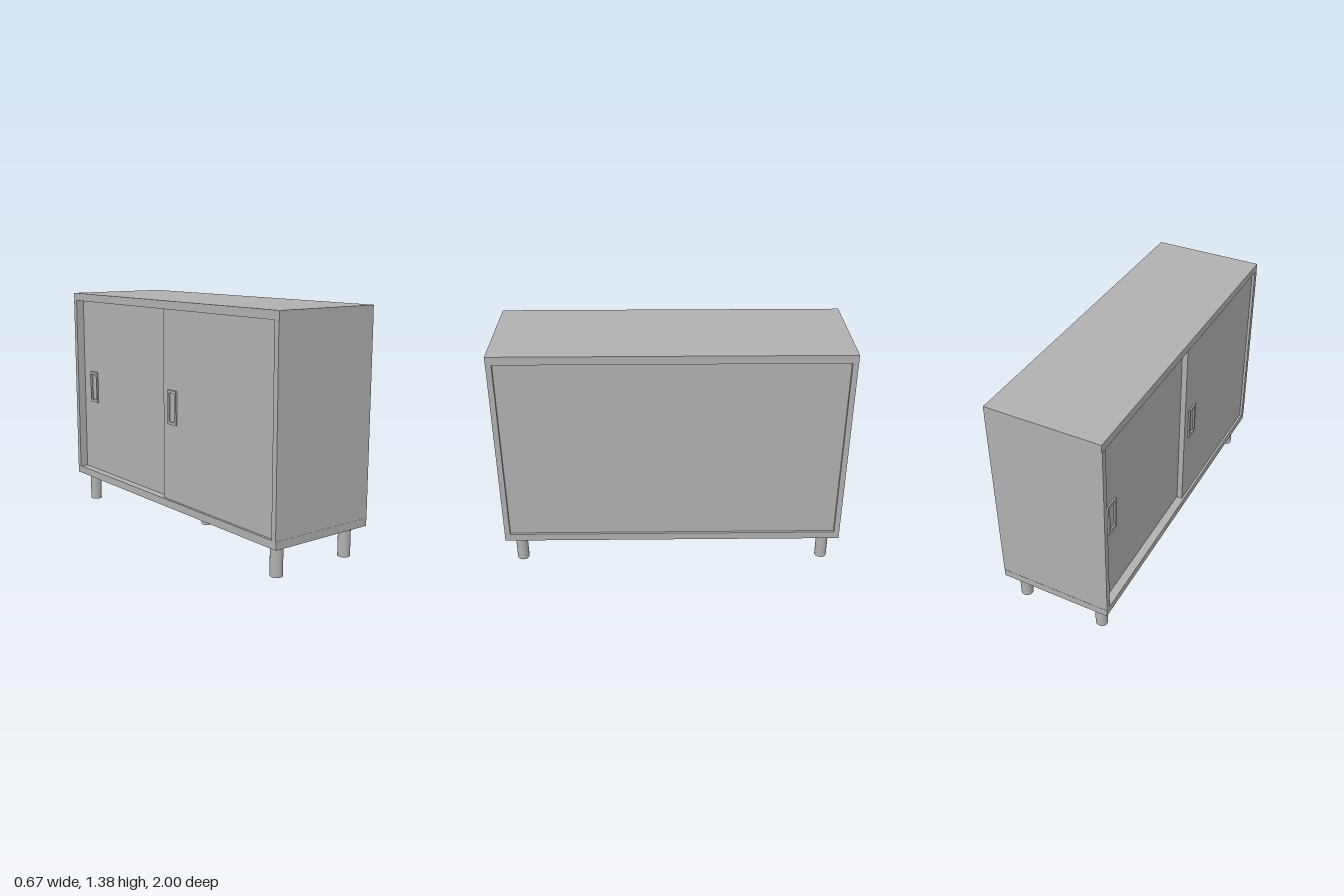
import * as THREE from 'three';

const grey = new THREE.MeshStandardMaterial({ color: 0xb0b0b0 });
grey.name = 'plain grey';

export function createModel() {
  const cabinet = new THREE.Group();
  cabinet.name = 'slidingDoorCabinet';

  const add = (name, geometry, x, y, z) => {
    const mesh = new THREE.Mesh(geometry, grey);
    mesh.name = name;
    mesh.position.set(x, y, z);
    cabinet.add(mesh);
    return mesh;
  };
  // Box given by its limits on each axis
  const slab = (name, [x0, x1], [y0, y1], [z0, z1]) =>
    add(name, new THREE.BoxGeometry(x1 - x0, y1 - y0, z1 - z0),
      (x0 + x1) / 2, (y0 + y1) / 2, (z0 + z1) / 2);

  // Carcass
  const bottom = 0.222, top = 1.334, inner = 0.967;
  slab('topBoard', [-0.332, 0.33], [top, 1.382], [-1, 1]);
  slab('bottomBoard', [-0.332, 0.33], [0.177, bottom], [-1, 1]);
  slab('leftEndPanel', [-0.334, 0.332], [bottom, top], [inner, 0.999]);
  slab('rightEndPanel', [-0.334, 0.332], [bottom, top], [-0.999, -inner]);
  slab('backPanel', [0.285, 0.315], [bottom, top], [-inner, inner]);

  // Two overlapping sliding doors on the -x side, each with a pull
  const ring = new THREE.Shape();
  ring.moveTo(-0.042, -0.1).lineTo(0.042, -0.1).lineTo(0.042, 0.1).lineTo(-0.042, 0.1).closePath();
  const hole = new THREE.Path();
  hole.moveTo(-0.026, -0.084).lineTo(-0.026, 0.084).lineTo(0.026, 0.084).lineTo(0.026, -0.084).closePath();
  ring.holes.push(hole);
  const pull = new THREE.ExtrudeGeometry(ring, { depth: 0.009, bevelEnabled: false });
  pull.rotateY(-Math.PI / 2);

  const door = (name, face, z0, z1, pullZ) => {
    slab(name, [face, face + 0.032], [bottom, top], [z0, z1]);
    add(name + 'Pull', pull, face, 0.775, pullZ);
  };
  door('outerDoor', -0.318, 0, inner, 0.09);
  door('innerDoor', -0.284, -inner, 0.04, -0.84);

  // Four corner legs and one in the middle
  const leg = new THREE.CylinderGeometry(0.035, 0.035, 0.178, 32);
  for (const [x, z] of [[-0.25, -0.915], [0.25, -0.915], [-0.25, 0.915], [0.25, 0.915], [0, 0]]) {
    add('leg', leg, x, 0.089, z);
  }

  return cabinet;
}
